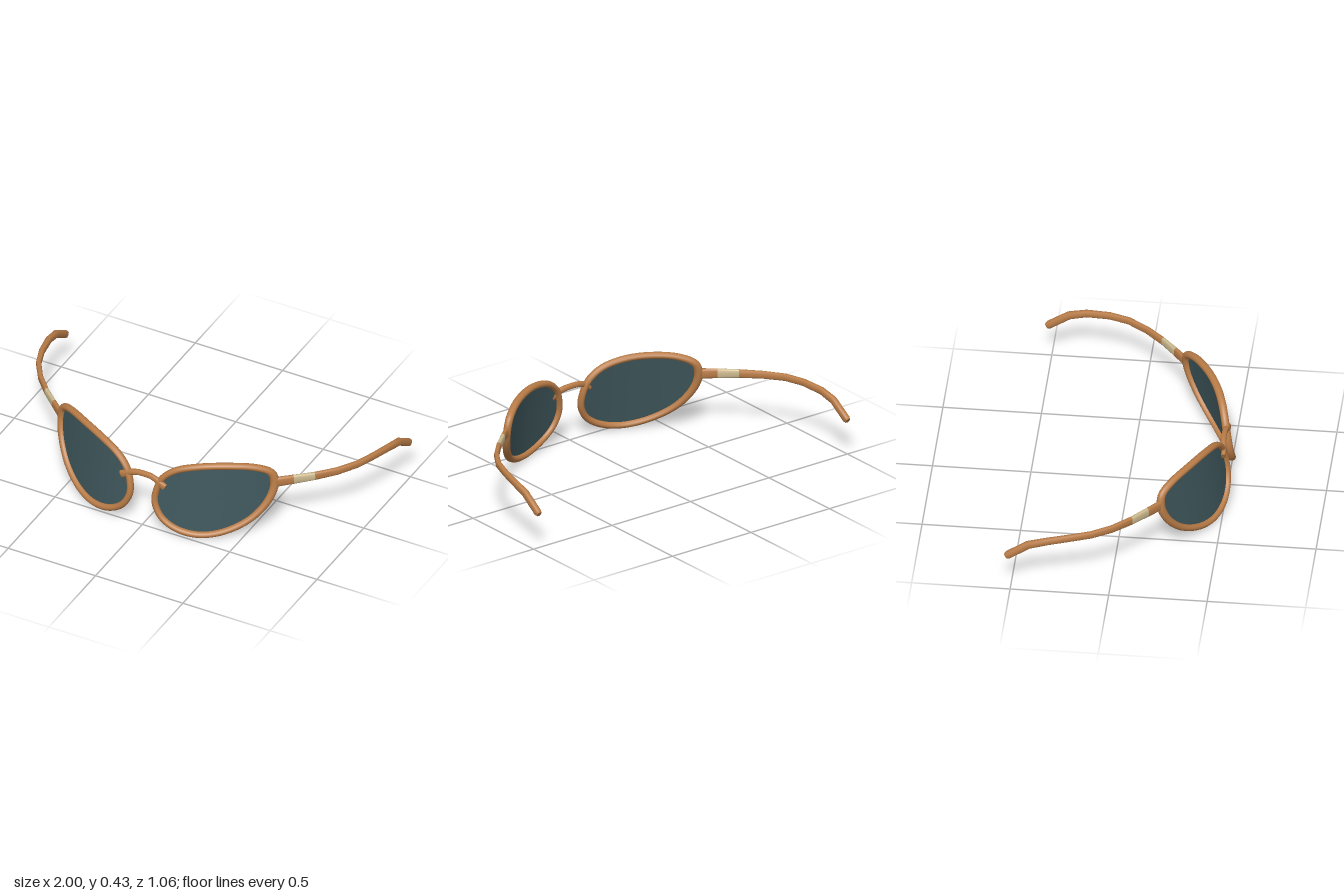
import * as THREE from 'three';

const V = (x, y, z) => new THREE.Vector3(x, y, z);
const frameMat = new THREE.MeshStandardMaterial({ color: 0xb97c47 });
frameMat.name = 'tan frame';
const lensMat = new THREE.MeshStandardMaterial({ color: 0x3e565b, side: THREE.DoubleSide });
lensMat.name = 'dark teal lens';
const bandMat = new THREE.MeshStandardMaterial({ color: 0xcdba8e });
bandMat.name = 'pale hinge band';

// Skin a list of equal-sized rings; optionally wrap round or cap the ends.
function loft(rings, { wrap = false, caps = false } = {}) {
  const n = rings[0].length, m = rings.length;
  const pos = [], idx = [];
  const add = p => pos.push(p.x, p.y, p.z) / 3 - 1;
  rings.forEach(r => r.forEach(add));
  for (let i = 0; i < (wrap ? m : m - 1); i++) {
    for (let j = 0; j < n; j++) {
      const k = (j + 1) % n, i2 = (i + 1) % m;
      const a = i * n + j, b = i * n + k, c = i2 * n + k, d = i2 * n + j;
      idx.push(a, b, c, a, c, d);
    }
  }
  if (caps) {
    for (const [ring, end] of [[rings[0], false], [rings[m - 1], true]]) {
      const mid = ring.reduce((s, p) => s.add(p), V(0, 0, 0)).divideScalar(n);
      const c = add(mid), first = c + 1;
      ring.forEach(add);
      for (let j = 0; j < n; j++) {
        const a = first + j, b = first + (j + 1) % n;
        if (end) idx.push(c, a, b);
        else idx.push(c, b, a);
      }
    }
  }
  const g = new THREE.BufferGeometry();
  g.setAttribute('position', new THREE.Float32BufferAttribute(pos, 3));
  g.setIndex(idx);
  g.computeVertexNormals();
  return g;
}

// Mirror a geometry across x = 0 and keep its faces outward.
function mirrored(g) {
  const r = g.clone().scale(-1, 1, 1);
  const ix = r.index;
  for (let i = 0; i < ix.count; i += 3) {
    const t = ix.getX(i + 1);
    ix.setX(i + 1, ix.getX(i + 2));
    ix.setX(i + 2, t);
  }
  r.computeVertexNormals();
  return r;
}

// Wrapped, tilted surface that the lenses and rims follow.
const surfZ = (x, y) => 0.53 - 0.7 * x * x - 0.15 * y;
const surfNormal = x => V(1.4 * x, 0.15, 1).normalize();

// Rim outline, anticlockwise from the nose side, and its inset for the lens.
const outline = new THREE.CatmullRomCurve3([
  [0.06, 0.25], [0.056, 0.17], [0.1, 0.085], [0.19, 0.027], [0.31, 0.005],
  [0.43, 0.03], [0.54, 0.1], [0.607, 0.2], [0.627, 0.3], [0.605, 0.372],
  [0.53, 0.414], [0.4, 0.43], [0.27, 0.42], [0.16, 0.385], [0.09, 0.325],
].map(p => V(p[0], p[1], 0)), true);
const STEPS = 80, RIM = 0.034;
const samples = Array.from({ length: STEPS }, (_, i) => {
  const p = outline.getPointAt(i / STEPS), t = outline.getTangentAt(i / STEPS);
  return { p, out: V(t.y, -t.x, 0) };
});

// Rounded rim section swept round the outline.
function rimGeometry() {
  return loft(samples.map(({ p, out }) => Array.from({ length: 12 }, (_, j) => {
    const a = j / 12 * Math.PI * 2;
    const q = p.clone().addScaledVector(out, RIM / 2 * (Math.cos(a) - 1));
    q.z = surfZ(q.x, q.y);
    return q.addScaledVector(surfNormal(q.x), -0.02 * Math.sin(a));
  })), { wrap: true });
}

// Curved lens, from just under the rim in to its centre.
function lensGeometry() {
  const c = V(0.34, 0.22, 0);
  return loft([1, 0.8, 0.6, 0.4, 0.2, 0.001].map(s => samples.map(({ p, out }) => {
    const q = p.clone().addScaledVector(out, -RIM * 0.85).sub(c).multiplyScalar(s).add(c);
    q.z = surfZ(q.x, q.y);
    return q;
  })));
}

// Rounded-rectangle rings along stations of [x, y, z, half height, half width].
function barRings(stations) {
  const pts = stations.map(s => V(s[0], s[1], s[2]));
  const soft = v => Math.sign(v) * Math.abs(v) ** 0.7;
  return stations.map(([, , , h, w], i) => {
    const t = pts[Math.min(i + 1, pts.length - 1)].clone().sub(pts[Math.max(i - 1, 0)]).normalize();
    const side = V(0, 1, 0).cross(t).normalize();
    const up = t.clone().cross(side);
    return Array.from({ length: 12 }, (_, j) => {
      const a = j / 12 * Math.PI * 2;
      return pts[i].clone().addScaledVector(side, w * soft(Math.cos(a)))
        .addScaledVector(up, h * soft(Math.sin(a)));
    });
  });
}

// Temple arm: front stub, pale band, then the hooked rear.
const armRings = barRings([
  [0.6, 0.303, 0.235, 0.028, 0.014],
  [0.685, 0.306, 0.163, 0.026, 0.012],
  [0.767, 0.308, 0.09, 0.0225, 0.012],
  [0.85, 0.31, 0, 0.02, 0.013],
  [0.915, 0.313, -0.1, 0.0185, 0.014],
  [0.95, 0.311, -0.2, 0.018, 0.015],
  [0.975, 0.298, -0.32, 0.0185, 0.016],
  [0.981, 0.275, -0.41, 0.02, 0.017],
  [0.983, 0.207, -0.513, 0.02, 0.017],
  [0.983, 0.2, -0.525, 0.014, 0.012],
]);

// Arched bridge whose ends lap over the inner rims as small tabs.
const bridgeHalf = [
  [0.125, 0.272, 0.49, 0.02, 0.012],
  [0.1, 0.285, 0.489, 0.018, 0.013],
  [0.07, 0.3, 0.484, 0.015, 0.014],
  [0.035, 0.308, 0.48, 0.014, 0.014],
];
const bridgeStations = [
  ...bridgeHalf.map(([x, ...rest]) => [-x, ...rest]),
  [0, 0.309, 0.48, 0.014, 0.014],
  ...bridgeHalf.slice().reverse(),
];

export function createModel() {
  const model = new THREE.Group();
  model.name = 'sunglasses';
  const add = (name, geometry, material) => {
    const mesh = new THREE.Mesh(geometry, material);
    mesh.name = name;
    model.add(mesh);
  };
  const pair = (name, geometry, material) => {
    add('left' + name, geometry, material);
    add('right' + name, mirrored(geometry), material);
  };
  pair('Rim', rimGeometry(), frameMat);
  pair('Lens', lensGeometry(), lensMat);
  pair('ArmStub', loft(armRings.slice(0, 2), { caps: true }), frameMat);
  pair('HingeBand', loft(armRings.slice(1, 3), { caps: true }), bandMat);
  pair('Arm', loft(armRings.slice(2), { caps: true }), frameMat);
  add('bridge', loft(barRings(bridgeStations), { caps: true }), frameMat);
  return model;
}
